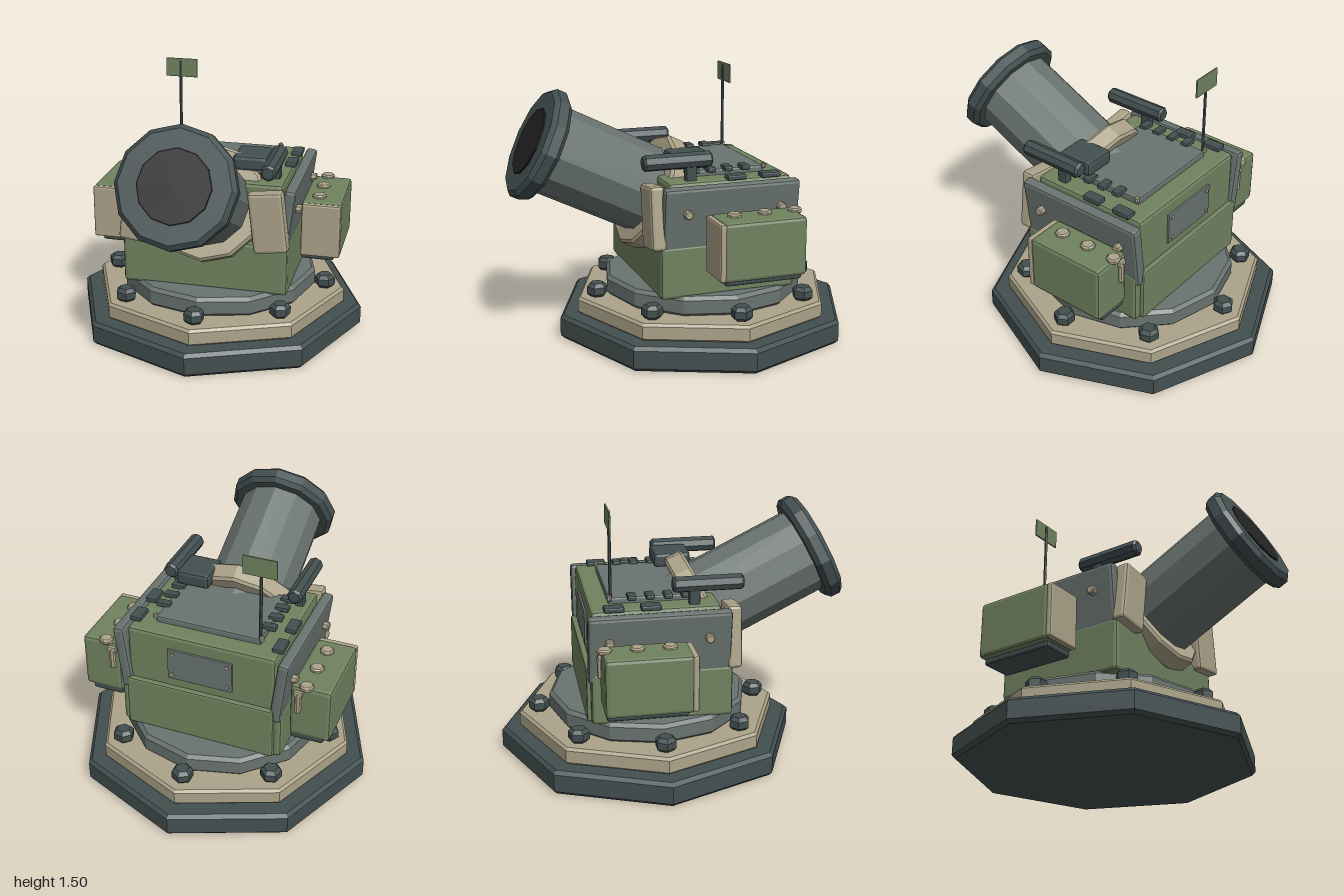
import * as THREE from 'three';
import { RoundedBoxGeometry } from 'three/addons/geometries/RoundedBoxGeometry.js';

const mat = (name, color) => {
  const m = new THREE.MeshStandardMaterial({ color, flatShading: true });
  m.name = name;
  return m;
};

export function createModel() {
  const tan = mat('tan', 0xaca389), green = mat('green', 0x70825f), grey = mat('grey', 0x69736f);
  const dark = mat('dark slate', 0x434f50), black = mat('black', 0x222222);
  const model = new THREE.Group();
  model.name = 'mortarTurret';

  const add = (name, geo, m, x, y, z, parent = model) => {
    const mesh = new THREE.Mesh(geo, m);
    mesh.name = name;
    mesh.position.set(x, y, z);
    parent.add(mesh);
    return mesh;
  };
  // Box with chamfered edges, centred on its position
  const box = (name, m, w, h, d, x, y, z, bevel = 0.015, parent = model) =>
    add(name, new RoundedBoxGeometry(w, h, d, 1, Math.min(bevel, w / 3, h / 3, d / 3)), m, x, y, z, parent);
  // Faceted drum with chamfered rims, rising from its position along y
  const drum = (name, m, sides, r, h, x, y, z, bevel = 0.015, parent = model) => {
    const pts = [[0, 0], [r - bevel, 0], [r, bevel], [r, h - bevel], [r - bevel, h], [0, h]];
    const geo = new THREE.LatheGeometry(pts.map(p => new THREE.Vector2(...p)), sides);
    return add(name, geo, m, x, y, z, parent);
  };

  // Stepped base
  const cz = -0.143;
  drum('basePlate', dark, 8, 0.855, 0.14, 0, 0, cz, 0.02);
  drum('baseStep', tan, 8, 0.75, 0.1, 0, 0.135, cz, 0.015);
  drum('turntable', grey, 12, 0.575, 0.115, 0, 0.23, cz, 0.02);
  for (let i = 0; i < 8; i++) {
    const a = i * Math.PI / 4;
    const bolt = drum('baseBolt', dark, 6, 0.06, 0.08, 0.635 * Math.sin(a), 0.232, cz + 0.635 * Math.cos(a), 0.02);
    bolt.rotation.y = a;
  }

  // Turret housing
  box('lowerHousing', green, 0.95, 0.3, 0.78, 0, 0.48, -0.13, 0.02);
  box('rearApron', green, 0.87, 0.31, 0.04, 0, 0.49, -0.523, 0.012);
  box('upperHousing', green, 0.86, 0.4, 0.71, 0, 0.765, -0.155, 0.02);
  box('roofHatch', grey, 0.61, 0.05, 0.46, 0, 0.975, -0.17, 0.012);
  box('rearPanel', grey, 0.38, 0.19, 0.02, 0, 0.79, -0.512, 0.005);
  for (const x of [-0.16, 0.16]) for (const y of [0.725, 0.855])
    box('panelRivet', tan, 0.02, 0.02, 0.012, x, y, -0.523, 0.004);

  // Tilted barrel with collar and muzzle; local y runs along the bore
  const barrel = new THREE.Group();
  barrel.name = 'barrel';
  barrel.position.set(0, 1.161, 0.855);
  barrel.rotation.x = THREE.MathUtils.degToRad(90 - 26.2);
  model.add(barrel);
  drum('barrelTube', grey, 12, 0.25, 0.97, 0, -1.0, 0, 0.01, barrel);
  drum('barrelCollar', tan, 12, 0.335, 0.115, 0, -0.833, 0, 0.015, barrel);
  drum('muzzleRing', dark, 12, 0.32, 0.105, 0, -0.105, 0, 0.025, barrel);
  drum('muzzleBore', black, 12, 0.195, 0.012, 0, -0.004, 0, 0.003, barrel);

  // Parts on both sides
  for (const s of [-1, 1]) {
    const plate = box('sidePlate', grey, 0.065, 0.385, 0.78, s * 0.457, 0.763, -0.143, 0.018);
    plate.rotation.z = -s * 0.12;
    const shield = box('frontShield', tan, 0.195, 0.35, 0.08, s * 0.368, 0.776, 0.27, 0.018);
    shield.rotation.z = s * 0.12;
    for (const z of [0.12, -0.42]) {
      const bolt = drum('plateBolt', tan, 8, 0.026, 0.04, s * 0.49, 0.81, z, 0.006);
      bolt.rotation.z = -s * Math.PI / 2;
    }

    // Side pod with front cap, studs, underside block and rear latch
    box('pod', green, 0.23, 0.325, 0.47, s * 0.618, 0.642, -0.24, 0.02);
    box('podFront', tan, 0.225, 0.315, 0.035, s * 0.62, 0.643, 0.003, 0.012);
    box('podUnderside', dark, 0.19, 0.06, 0.44, s * 0.6, 0.477, -0.245, 0.015);
    for (const z of [-0.46, -0.285, -0.11])
      drum('podStud', tan, 8, 0.04, 0.03, s * 0.59, 0.793, z, 0.008);
    drum('podLatch', tan, 8, 0.018, 0.13, s * 0.55, 0.64, -0.478, 0.005);
    box('latchClip', tan, 0.05, 0.035, 0.035, s * 0.55, 0.765, -0.475, 0.008);

    // Roof tubes, blocks and hinges
    const tube = drum('roofTube', dark, 8, 0.045, 0.39, s * 0.37, 1.075, -0.06, 0.012);
    tube.rotation.x = Math.PI / 2;
    box('tubeMount', dark, 0.05, 0.1, 0.06, s * 0.37, 1.0, 0.06, 0.01);
    for (const z of [-0.385, -0.185])
      box('roofBlock', dark, 0.065, 0.03, 0.11, s * 0.415, 0.975, z, 0.008);
    for (const z of [-0.275, -0.175, -0.075, 0.02])
      box('hatchHinge', dark, 0.08, 0.03, 0.048, s * 0.312, 1.003, z, 0.008);
    drum('hatchPin', tan, 8, 0.014, 0.03, s * 0.31, 0.985, -0.395, 0.004);
  }

  // Sight housing
  box('sightHousing', dark, 0.195, 0.085, 0.215, 0.23, 1.055, 0.03, 0.02);

  // Antenna with marker plate
  drum('antennaRod', dark, 6, 0.009, 0.5, -0.3, 0.98, -0.388, 0.002);
  box('antennaPlate', green, 0.19, 0.11, 0.01, -0.295, 1.44, -0.395, 0.003);

  return model;
}
